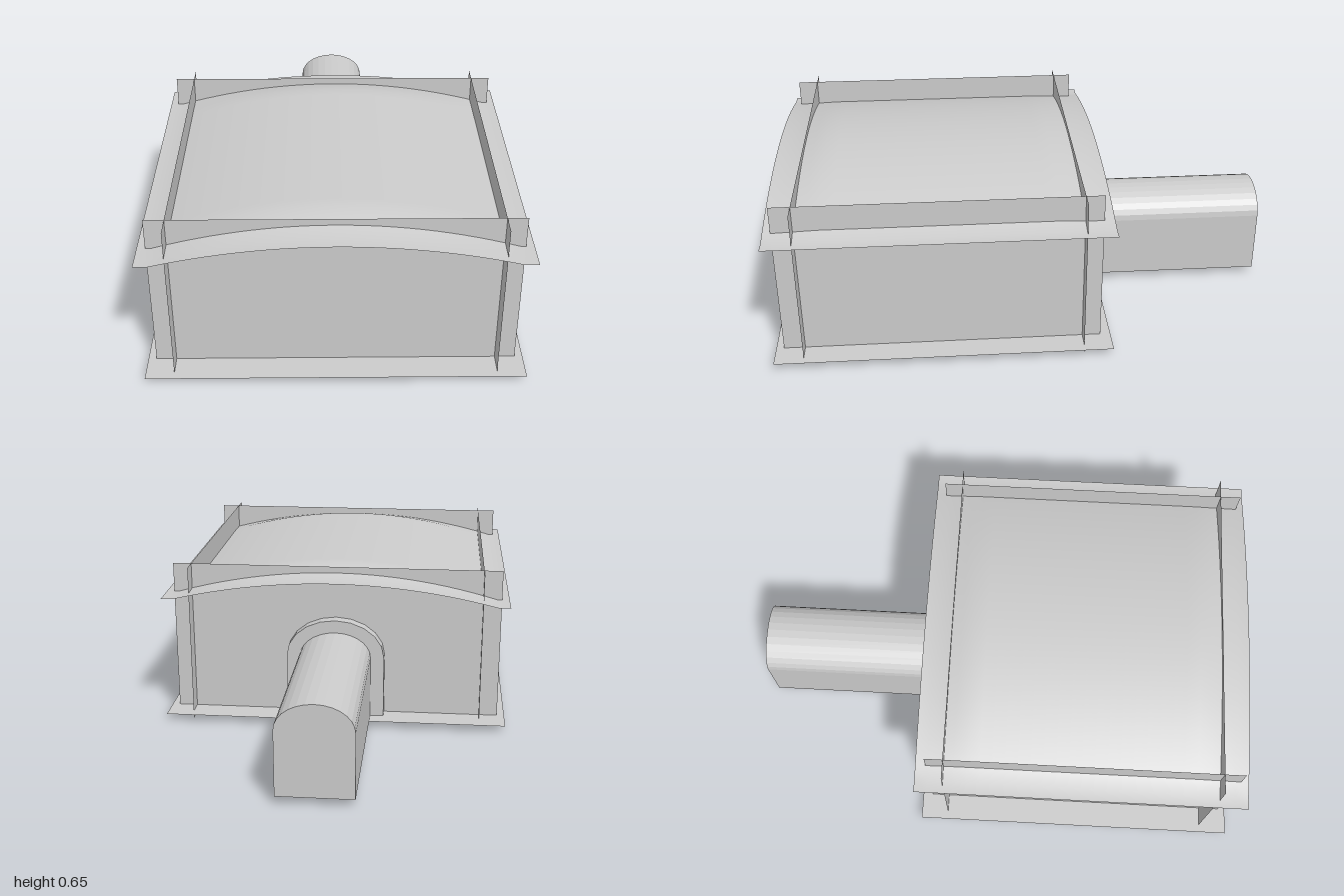
import * as THREE from 'three';

const ZC = 0.345; // centre of the chamber along z

export function createModel() {
  const group = new THREE.Group();
  const stone = new THREE.MeshStandardMaterial({ color: 0xcccccc, side: THREE.DoubleSide });
  stone.name = 'plain grey';

  const add = (name, geometry, x = 0, y = 0, z = 0) => {
    const mesh = new THREE.Mesh(geometry, stone);
    mesh.name = name;
    mesh.position.set(x, y, z);
    group.add(mesh);
    return mesh;
  };

  // Floor sheet and the four wall sheets, which run past each other at the corners
  add('floor', new THREE.PlaneGeometry(1.4, 1.31).rotateX(-Math.PI / 2), 0, 0.03, ZC);
  for (const side of [-1, 1]) {
    add(side > 0 ? 'leftWall' : 'rightWall',
      new THREE.PlaneGeometry(1.24, 0.653).rotateY(side * Math.PI / 2), side * 0.595, 0.3265, ZC + 0.005);
    add(side > 0 ? 'frontWall' : 'backWall',
      new THREE.PlaneGeometry(1.34, 0.653).rotateY(side > 0 ? 0 : Math.PI), 0, 0.3265, ZC + side * 0.543);
  }

  // Vaulted roof sheet: arched across x, dipping towards its front and back, with a level rim
  const rise = (z) => {
    const d = Math.abs(z);
    if (d > 0.605) return 0.08;
    if (d > 0.455) return 0.115 - 0.035 * (d - 0.455) / 0.15;
    return 0.115;
  };
  const roof = new THREE.PlaneGeometry(1.4, 1.31, 28, 26).rotateX(-Math.PI / 2);
  const p = roof.attributes.position;
  for (let i = 0; i < p.count; i++) {
    const t = Math.min(1, Math.abs(p.getX(i)) / 0.65);
    p.setY(i, 0.533 + (1 - t * t) * rise(p.getZ(i)));
  }
  roof.computeVertexNormals();
  add('roof', roof, 0, 0, ZC);

  // Outline with upright sides and an elliptical arch on top
  const archPoints = (halfWidth, spring, top, steps) => {
    const points = [new THREE.Vector2(halfWidth, 0.03)];
    for (let i = 0; i <= steps; i++) {
      const a = Math.PI * i / steps;
      points.push(new THREE.Vector2(Math.cos(a) * halfWidth, spring + Math.sin(a) * (top - spring)));
    }
    points.push(new THREE.Vector2(-halfWidth, 0.03));
    return points;
  };

  // Passage leaving through the back wall
  const passage = new THREE.Shape(archPoints(0.145, 0.285, 0.388, 14));
  add('passage', new THREE.ExtrudeGeometry(passage, { depth: 0.802, bevelEnabled: false }), 0, 0, -1);

  // Raised surround where the passage meets the wall
  const outer = archPoints(0.2, 0.285, 0.44, 10);
  const inner = archPoints(0.145, 0.285, 0.388, 10).reverse();
  const surround = new THREE.Shape([...outer, ...inner]);
  add('passageSurround', new THREE.ExtrudeGeometry(surround, { depth: 0.05, bevelEnabled: false }), 0, 0, -0.247);

  return group;
}
